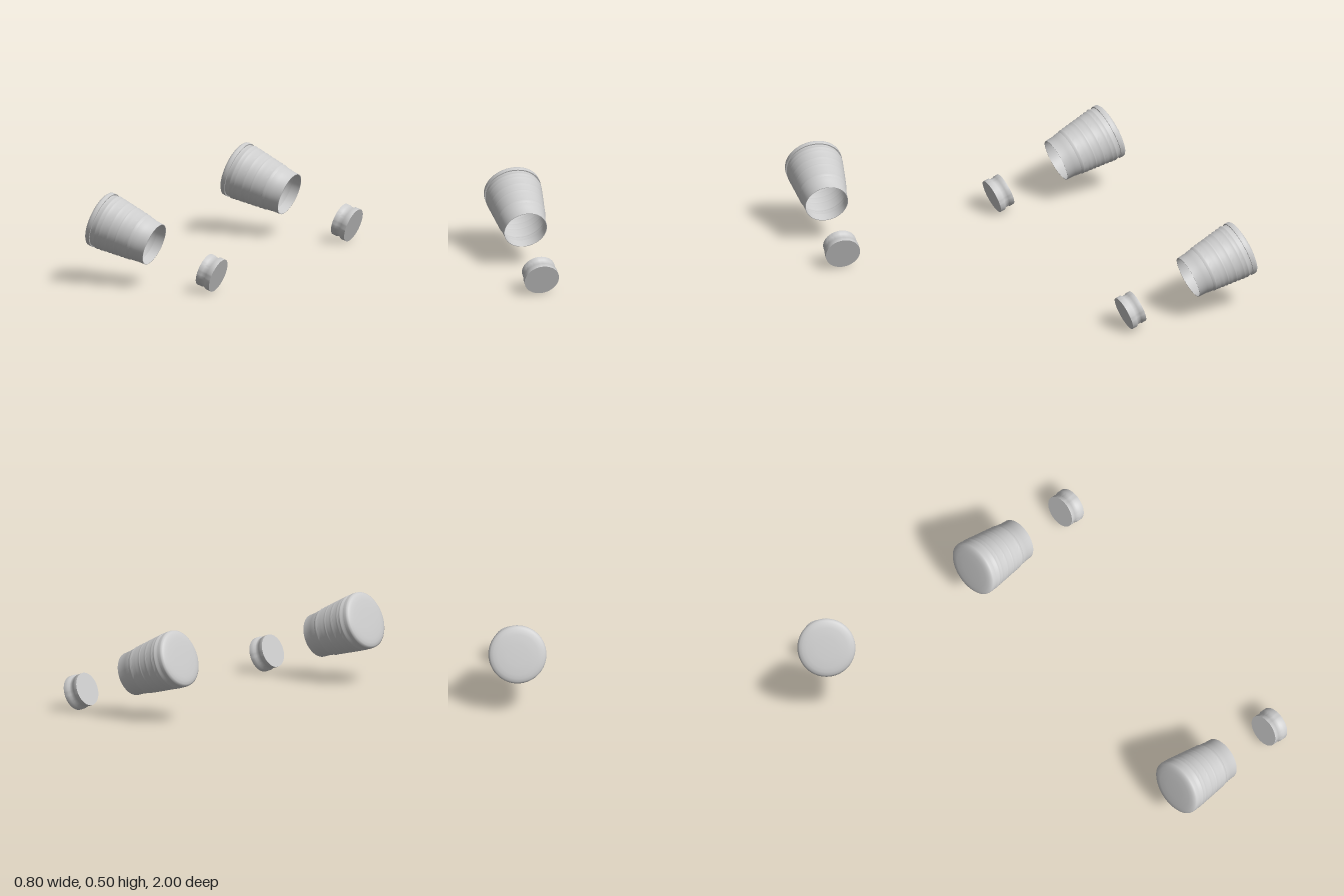
import * as THREE from 'three';
import { toCreasedNormals } from 'three/addons/utils/BufferGeometryUtils.js';

const TILT = -THREE.MathUtils.degToRad(109.8); // local +y points down towards +x

export function createModel() {
  const group = new THREE.Group();
  const grey = new THREE.MeshStandardMaterial({ color: 0xcccccc, side: THREE.DoubleSide });
  grey.name = 'light grey';

  // Turned part from [radius, distance along axis] pairs
  const turned = (profile) => toCreasedNormals(
    new THREE.LatheGeometry(profile.map(([r, s]) => new THREE.Vector2(r, s)), 64), 0.95);

  // Domed end and thick lip
  const cap = turned([
    [0, -0.361], [0.06, -0.361], [0.11, -0.359], [0.132, -0.356], [0.148, -0.351],
    [0.1565, -0.344], [0.158, -0.336], [0.158, -0.32], [0.151, -0.32],
  ]);

  // Tapered wall with shallow ribs
  const wall = [[0.151, -0.32], [0.152, -0.302]];
  const ribs = 9, start = -0.302, pitch = 0.0242;
  for (let i = 0; i < ribs; i++) {
    const s = start + i * pitch;
    const r = 0.1535 - 0.0235 * (i / (ribs - 1));
    wall.push([r + 0.003, s + pitch * 0.3], [r + 0.003, s + pitch * 0.5], [r - 0.002, s + pitch]);
  }
  const ribbedWall = turned(wall);

  // Plain collar around the open end
  const collar = turned([
    [0.128, -0.0842], [0.1245, -0.055], [0.1225, -0.05], [0.1195, 0],
    [0.1165, 0], [0.1175, -0.05],
  ]);

  // Stopper with a groove between two flanges
  const stopper = turned([
    [0, -0.087], [0.0915, -0.087], [0.0915, -0.063], [0.088, -0.06],
    [0.0872, -0.036], [0.0957, -0.029], [0.0957, 0], [0, 0],
  ]);

  const add = (parent, name, geometry) => {
    const mesh = new THREE.Mesh(geometry, grey);
    mesh.name = name;
    parent.add(mesh);
    return mesh;
  };

  // One cup and stopper on each side
  for (const [side, z] of [['front', 0.842], ['back', -0.842]]) {
    const cup = new THREE.Group();
    cup.name = side + 'Cup';
    add(cup, 'cap', cap);
    add(cup, 'ribbedWall', ribbedWall);
    add(cup, 'collar', collar);
    cup.position.set(-0.02, 0.2325, z);
    cup.rotation.z = TILT;
    group.add(cup);

    const plug = add(group, side + 'Stopper', stopper);
    plug.position.set(0.367, 0.091, z);
    plug.rotation.z = TILT;
  }
  return group;
}
